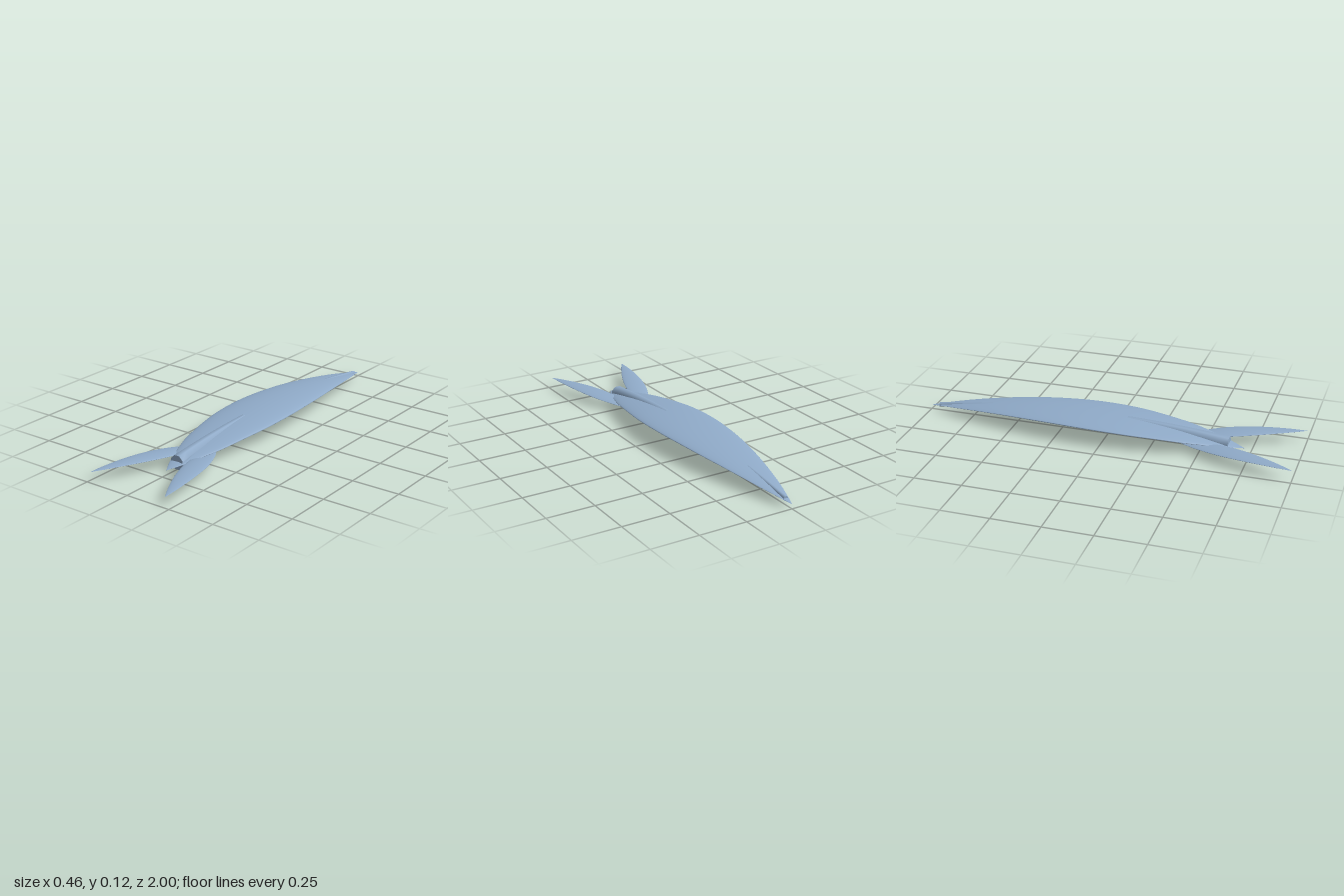
import * as THREE from 'three';

// Loft closed rings of points into one smooth surface; optional flat end caps.
function loft(rings, capped = false) {
  const n = rings[0].length, pos = [], idx = [];
  rings.forEach((ring) => ring.forEach((p) => pos.push(p.x, p.y, p.z)));
  for (let i = 0; i < rings.length - 1; i++) {
    for (let j = 0; j < n; j++) {
      const a = i * n + j, b = i * n + (j + 1) % n;
      idx.push(a, b, a + n, b, b + n, a + n);
    }
  }
  if (capped) {
    [rings[0], rings[rings.length - 1]].forEach((ring, k) => {
      const start = pos.length / 3;
      ring.forEach((p) => pos.push(p.x, p.y, p.z));
      for (let j = 1; j < n - 1; j++) {
        if (k === 0) idx.push(start, start + j + 1, start + j);
        else idx.push(start, start + j, start + j + 1);
      }
    });
  }
  const geo = new THREE.BufferGeometry();
  geo.setAttribute('position', new THREE.Float32BufferAttribute(pos, 3));
  geo.setIndex(idx);
  geo.computeVertexNormals();
  return geo;
}

// Half-width of a leaf: (position from tip 0 to base 1, share of the maximum).
const outline = new THREE.SplineCurve([
  [0, 0], [0.03, 0.1], [0.115, 0.345], [0.233, 0.61], [0.349, 0.82], [0.465, 0.955],
  [0.55, 1], [0.63, 0.985], [0.7, 0.915], [0.814, 0.715], [0.872, 0.55], [0.93, 0.34],
  [0.965, 0.19], [1, 0],
].map(([x, y]) => new THREE.Vector2(x, y)));

// Pillow-shaped leaf along a spine from tip to base, arched upwards by "arch".
function leafGeometry(tip, base, width, thick, arch) {
  const along = base.clone().sub(tip);
  const side = new THREE.Vector3(along.z, 0, -along.x).normalize();
  const rings = [], sides = 32, steps = 60;
  for (let i = 0; i <= steps; i++) {
    const p = outline.getPoint(i / steps);
    const share = Math.max(p.y, 0.001);
    const centre = tip.clone().addScaledVector(along, p.x);
    centre.y += arch * 4 * p.x * (1 - p.x);
    const ring = [];
    for (let j = 0; j < sides; j++) {
      const a = (j / sides) * Math.PI * 2, s = Math.sin(a);
      const v = centre.clone().addScaledVector(side, Math.cos(a) * width * share);
      v.y += Math.sign(s) * Math.pow(Math.abs(s), 1.25) * thick * share;
      ring.push(v);
    }
    rings.push(ring);
  }
  return loft(rings);
}

export function createModel() {
  const group = new THREE.Group();
  const leafBlue = new THREE.MeshStandardMaterial({ color: 0x90abc9 });
  leafBlue.name = 'leafBlue';
  const add = (name, geo) => {
    const mesh = new THREE.Mesh(geo, leafBlue);
    mesh.name = name;
    group.add(mesh);
  };

  // Large central leaf
  add('mainLeaf', leafGeometry(
    new THREE.Vector3(0, 0.025, -1), new THREE.Vector3(0, 0.025, 0.72), 0.172, 0.022, 0.071));

  // Two small leaves spreading from the base
  for (const [name, s] of [['leftLeaflet', 1], ['rightLeaflet', -1]]) {
    add(name, leafGeometry(
      new THREE.Vector3(0.229 * s, 0.057, 1), new THREE.Vector3(0.035 * s, 0.029, 0.38),
      0.056, 0.008, 0.011));
  }

  // Eight-sided stem running through the leaf and thickening to the base
  const rings = [];
  for (let i = 0; i <= 30; i++) {
    const u = i / 30, z = -0.95 + 1.59 * u;
    const r = 0.0125 + 0.0265 * Math.pow(u, 2.2);
    const y = 0.096 - 0.071 * ((z + 0.14) / 0.86) ** 2;
    const ring = [];
    for (let j = 0; j < 8; j++) {
      const a = ((j + 0.5) / 8) * Math.PI * 2;
      ring.push(new THREE.Vector3(Math.cos(a) * r, y + Math.sin(a) * r, z));
    }
    rings.push(ring);
  }
  add('stem', loft(rings, true));

  return group;
}
